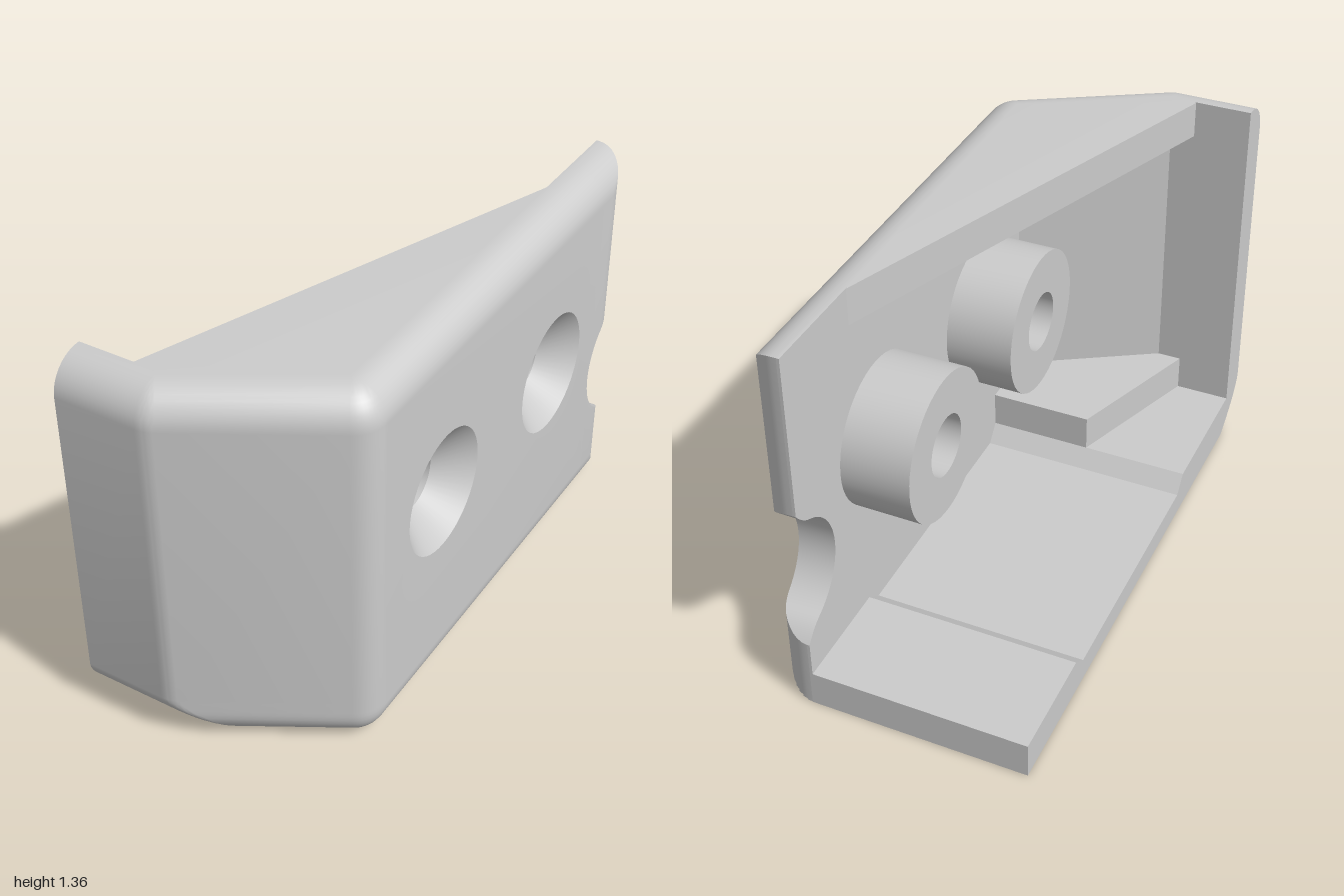
import * as THREE from 'three';
import { mergeGeometries, toCreasedNormals } from 'three/addons/utils/BufferGeometryUtils.js';

// Main dimensions
const X = 0.435, H = 1.355, R = 0.12, IN = 0.305;   // outer side, height, edge radius, inner side
const BORES = [0.26, -0.48], BORE_Y = 0.745;        // screw hole centres
const SPLIT = -0.8;                                 // z where the notched rear zone begins
const N = 10;
const C = 0.806, NX = 0.5, NZ = 0.866;              // slanted corner plane: NX*x + NZ*z = C

const V = (x, y, z) => new THREE.Vector3(x, y, z);
const arcInset = (q) => R * (1 - Math.sqrt(Math.max(0, 1 - q * q)));
const edgeInset = (y) => arcInset(Math.max(0, (R - y) / R, (y - H + R) / R));
const rearInset = (z) => arcInset(Math.max(0, (R - 1 - z) / R));
const frontInset = (y) => (y < 0.18 ? 0.17 * Math.pow((0.18 - y) / 0.18, 1.7) : edgeInset(y));

// Plain triangle soup, optionally turned inside out
function soup(geo, flip = false) {
  const g = geo.index ? geo.toNonIndexed() : geo;
  const p = g.attributes.position;
  const out = new THREE.BufferGeometry();
  const a = [];
  for (let i = 0; i < p.count; i += 3)
    for (const k of flip ? [0, 2, 1] : [0, 1, 2]) a.push(p.getX(i + k), p.getY(i + k), p.getZ(i + k));
  out.setAttribute('position', new THREE.Float32BufferAttribute(a, 3));
  return out;
}

// Skin over rows of points
function grid(rows, flip) {
  const n = rows[0].length, idx = [];
  for (let i = 0; i < rows.length - 1; i++)
    for (let j = 0; j < n - 1; j++) {
      const a = i * n + j, c = a + n;
      idx.push(a, a + 1, c, a + 1, c + 1, c);
    }
  const g = new THREE.BufferGeometry().setFromPoints(rows.flat());
  g.setIndex(idx);
  return soup(g, flip);
}

const shape = (pts) => new THREE.Shape(pts.map(([a, b]) => new THREE.Vector2(a, b)));

// Flat panel in the z-y plane at x, with round holes at the bores
function panel(pts, x, holeR, flip) {
  const s = shape(pts);
  if (holeR) for (const z of BORES) s.holes.push(new THREE.Path().absarc(z, BORE_Y, holeR, 0, Math.PI * 2, true));
  return soup(new THREE.ShapeGeometry(s, 24).rotateY(-Math.PI / 2).translate(x, 0, 0), flip);
}

// Flat plate in the x-z plane at y
const plate = (pts, y, flip) =>
  soup(new THREE.ShapeGeometry(shape(pts)).rotateX(Math.PI / 2).translate(0, y, 0), flip);

// Upright prism from a plan outline
const prism = (pts, y0, y1) =>
  soup(new THREE.ExtrudeGeometry(shape(pts), { depth: y1 - y0, bevelEnabled: false })
    .rotateX(Math.PI / 2).translate(0, y1, 0));

// Outer plan outline at height y: side, slanted corner, front
function ring(y) {
  const d = edgeInset(y), zf = 1 - frontInset(y), r = Math.max(R - d, 0.002);
  const p1 = V(X - d, y, (C - d - NX * (X - d)) / NZ);
  const p2 = V((C - d - NZ * zf) / NX, y, zf);
  const along = V(-NZ, 0, NX), t1 = r * 0.577, t2 = r * 0.268;
  const round = (p, before, after, t) => new THREE.QuadraticBezierCurve3(
    p.clone().addScaledVector(before, -t), p, p.clone().addScaledVector(after, t)).getPoints(8);
  return [V(X - d, y, SPLIT),
    ...round(p1, V(0, 0, 1), along, t1),
    ...round(p2, along, V(-1, 0, 0), t2),
    V(-X, y, zf)];
}

export function createModel() {
  const model = new THREE.Group();
  const material = new THREE.MeshStandardMaterial({ color: 0xcccccc, side: THREE.DoubleSide });
  const add = (name, ...parts) => {
    const mesh = new THREE.Mesh(toCreasedNormals(mergeGeometries(parts), 0.5), material);
    mesh.name = name;
    model.add(mesh);
  };

  // Heights following the rounded bottom and top edges
  const steps = Array.from({ length: N + 1 }, (_, i) => Math.sin((i / N) * Math.PI / 2));
  const low = steps.map((s) => R * (1 - s)).reverse();
  const high = steps.map((s) => H - R + R * s);

  // Rear zone: columns in z around a rounded half-circle notch
  const cols = [...steps.map((s) => -1 + R - R * s).reverse(),
    ...steps.slice(1).map((s) => -1 + R + (1 - R + SPLIT) * s)];
  const notch = (z) => Math.sqrt(Math.max(0, 0.22 ** 2 - (z + 1.02) ** 2))
    + 0.045 * (Math.max(0, -0.93 - z) / 0.07) ** 2;
  const NOTCH_Y = 0.52;
  const skin = (z, y) => V(X - Math.max(edgeInset(y), rearInset(z)), y, z);
  const rearTop = cols.map((z) => [NOTCH_Y + notch(z), ...high].map((y) => skin(z, y)));
  const rearLow = cols.map((z) => [...low, NOTCH_Y - notch(z)].map((y) => skin(z, y)));

  // Outer shell: rounded skin, bored side panel, top and bottom faces
  const mid = [R, 0.135, 0.15, 0.165, 0.18, H - R];
  const zs = ring(0.5)[1].z;
  const topRing = ring(H).map((p) => [p.x, p.z]);
  const lowRing = ring(0).map((p) => [p.x, p.z]);
  add('outerShell',
    grid(low.map(ring), true),
    grid(mid.map((y) => ring(y).slice(1)), true),
    grid(high.map(ring), true),
    grid(rearTop), grid(rearLow),
    panel([[SPLIT, R], [zs, R], [zs, H - R], [SPLIT, H - R]], X, 0.215, true),
    plate([[X - R, -1], ...lowRing, [-X, -1]], 0, false),
    plate([[X - R, -1], ...topRing, [-X, 0.87], [-0.24, 0.87], [IN, -0.62], [IN, -1]], H, true));

  // Rear rim of the side wall, running around the notch
  const rim = [[-1, H], ...cols.map((z) => [z, NOTCH_Y + notch(z)]),
    ...cols.slice(0, -1).reverse().map((z) => [z, NOTCH_Y - notch(z)]), [-1, 0]];
  add('rearRim', grid(rim.map(([z, y]) => [skin(z, y), V(IN, y, z)]), true));

  // Inner faces of the side, slanted and front walls
  const inner = [[IN, 0.6], [-0.155, 0.87], [-X, 0.87]];
  add('innerWalls',
    panel([...rim, [0.6, 0], [0.6, H]], IN, 0.105),
    grid([0.1, H].map((y) => inner.map(([x, z]) => V(x, y, z)))));

  // Floor with a shallow recess, and its rear edge
  const floor = [[-1, 0.13], [-0.62, 0.13], [-0.56, 0.085], [0.33, 0.085], [0.38, 0.145]];
  add('floor',
    grid(floor.map(([z, y]) => [V(-X, y, z), V(IN, y, z)]), true),
    plate([[-X, 0.38], [IN, 0.38], ...inner], 0.145, true),
    grid([0, 0.13].map((y) => [V(-X, y, -1), V(IN, y, -1)]), true));

  // Cut end of floor and front wall on the open side
  const frontLine = [...low, ...mid.slice(1), ...high.slice(1)].map((y) => [1 - frontInset(y), y]);
  add('openEdge', panel([[-1, 0], ...frontLine, [0.87, H], [0.87, 0.145], ...floor.slice().reverse()], -X));

  // Triangular top lip and the matching corner block on the floor
  add('topLip', prism([[-0.24, 0.87], [IN, -0.62], [IN, 0.6], [-0.155, 0.87]], H - 0.13, H - 0.002));
  add('cornerBlock', prism([[-0.06, 0.38], [IN, 0.38], [IN, 0.6], [-0.155, 0.87], [-0.24, 0.87]], 0.145, 0.275));

  // Screw bosses with countersunk bores
  const profile = [[0.215, X], [0.105, 0.325], [0.105, 0.07], [0.255, 0.07], [0.255, 0.31]]
    .map(([r, h]) => new THREE.Vector2(r, h));
  BORES.forEach((z) => add('screwBoss',
    soup(new THREE.LatheGeometry(profile, 48).rotateZ(-Math.PI / 2).translate(0, BORE_Y, z))));

  return model;
}
